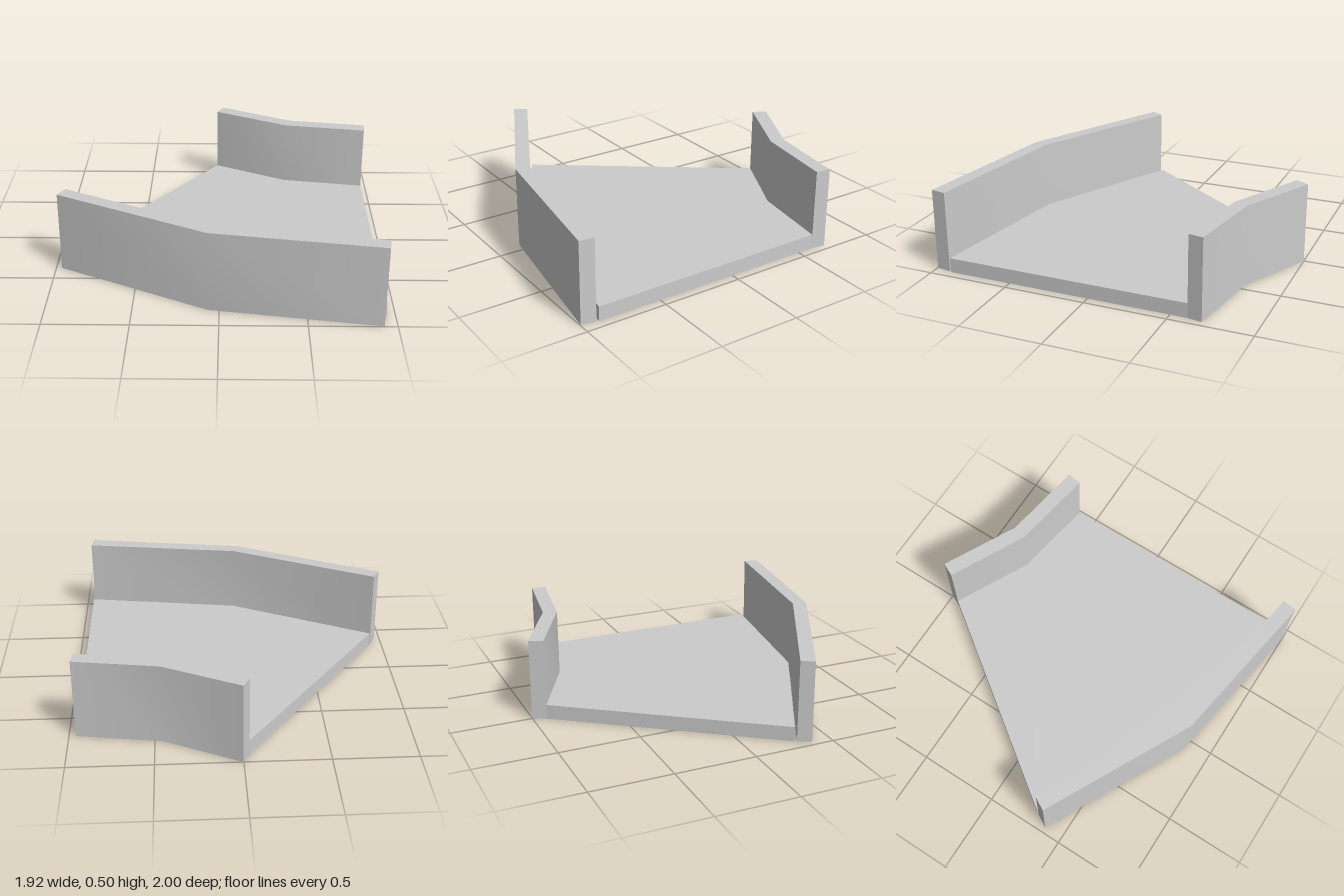
import * as THREE from 'three';
import { toCreasedNormals } from 'three/addons/utils/BufferGeometryUtils.js';

const WALL_HEIGHT = 0.5;
const FLOOR_HEIGHT = 0.09;

// Plan-view edges as [x, z], each running from -x to +x
const backOuter = [[0.003, -1], [0.455, -0.77], [0.96, -0.69]];
const backInner = [[-0.037, -0.92], [0.43, -0.685], [0.946, -0.602]];
const floorFront = [[-0.917, 0.29], [-0.033, 0.742], [0.946, 0.895]];
const frontInner = [[-0.923, 0.304], [-0.038, 0.756], [0.938, 0.907]];
const frontOuter = [[-0.965, 0.38], [-0.065, 0.84], [0.925, 0.997]];

// Upright slab between two plan edges; the gentle bends shade smoothly
function slab(name, back, front, height, material) {
  const outline = [...front, ...[...back].reverse()].map(([x, z]) => new THREE.Vector2(x, -z));
  const geometry = new THREE.ExtrudeGeometry(new THREE.Shape(outline), { depth: height, bevelEnabled: false });
  geometry.rotateX(-Math.PI / 2);
  const mesh = new THREE.Mesh(toCreasedNormals(geometry, 0.6), material);
  mesh.name = name;
  return mesh;
}

export function createModel() {
  const model = new THREE.Group();
  model.name = 'curvedChannel';
  const grey = new THREE.MeshStandardMaterial({ color: 0xcccccc });
  model.add(
    slab('backWall', backOuter, backInner, WALL_HEIGHT, grey),
    slab('floor', backInner, floorFront, FLOOR_HEIGHT, grey),
    slab('frontWall', frontInner, frontOuter, WALL_HEIGHT, grey),
  );
  return model;
}
